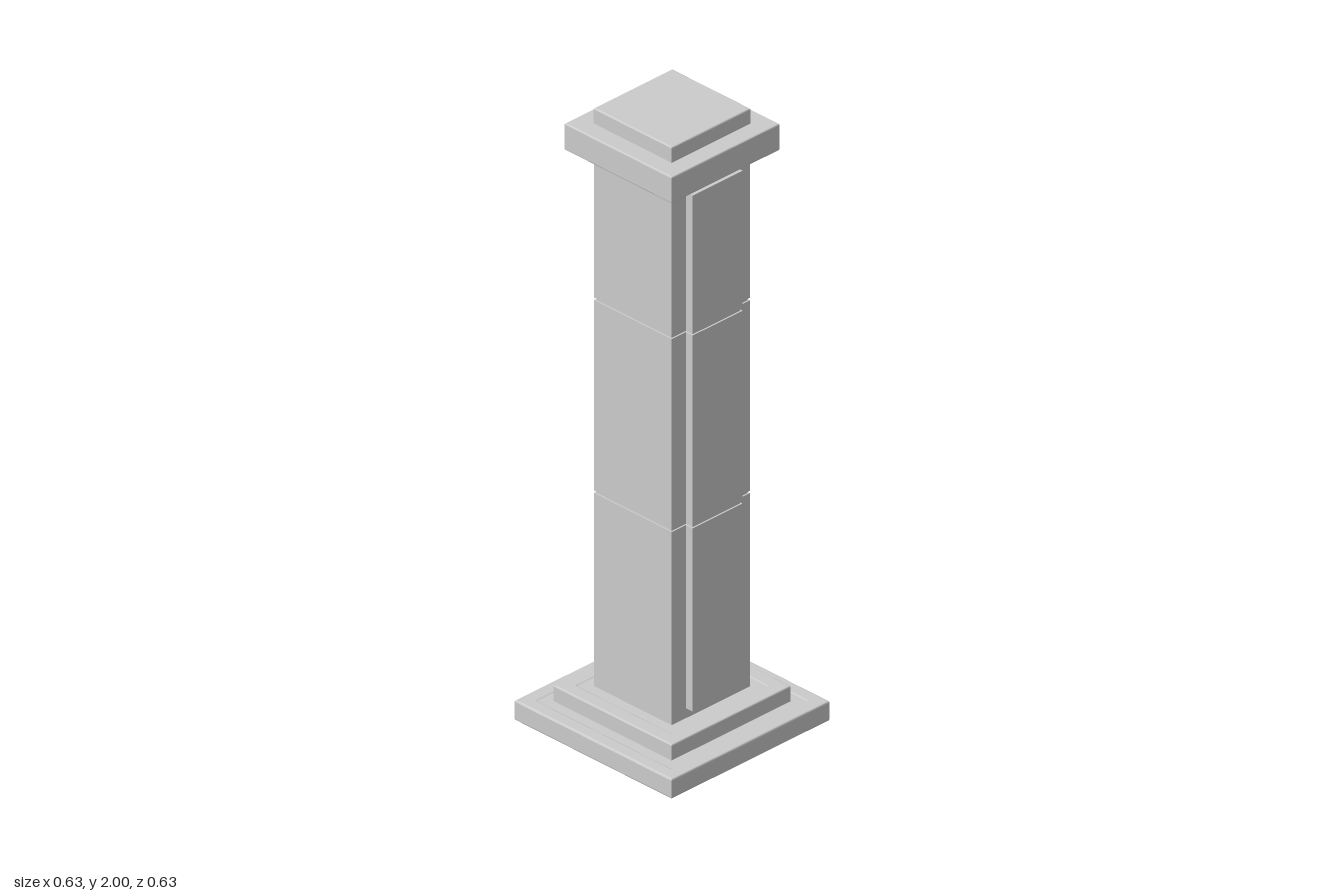
import * as THREE from 'three';

const HALF = 0.156;   // half width of the shaft
const PANEL = 0.1;    // half width of the panels
const RELIEF = 0.027; // how far the front panel stands out and the back one sinks in
const WALL = 0.015;
const SEAM = 0.004;

const material = new THREE.MeshStandardMaterial({ color: 0xcccccc });

const square = (h) => [[-h, -h], [h, -h], [h, h], [-h, h]];

// Shaft cross-section inset by t; shape y becomes -z, so the front lies at negative y
function panelled(t) {
  const h = HALF - t, f = PANEL - t, b = PANEL + t;
  return [
    [-h, -h], [-f, -h], [-f, -h - RELIEF], [f, -h - RELIEF], [f, -h], [h, -h],
    [h, h], [b, h], [b, h - RELIEF], [-b, h - RELIEF], [-b, h], [-h, h],
  ];
}

const toPoints = (list) => list.map(([x, y]) => new THREE.Vector2(x, y));

// Upright prism between two heights, with an optional hole and softened edges
function prism(name, outline, hole, y0, y1, bevel = 0) {
  const shape = new THREE.Shape(toPoints(outline));
  if (hole) shape.holes.push(new THREE.Path(toPoints(hole)));
  const geometry = new THREE.ExtrudeGeometry(shape, {
    depth: y1 - y0 - 2 * bevel,
    bevelEnabled: bevel > 0,
    bevelSize: bevel,
    bevelThickness: bevel,
    bevelOffset: -bevel,
    bevelSegments: 2,
  });
  geometry.rotateX(-Math.PI / 2);
  geometry.translate(0, y0 + bevel, 0);
  const mesh = new THREE.Mesh(geometry, material);
  mesh.name = name;
  return mesh;
}

export function createModel() {
  const model = new THREE.Group();
  model.name = 'pillar';

  // Stepped base, hollow underneath: a ring and a thin ceiling for each step
  const base = new THREE.Group();
  base.name = 'base';
  base.add(
    prism('lowerStep', square(0.315), square(0.27), 0, 0.065, 0.005),
    prism('lowerCeiling', square(0.275), square(0.19), 0.05, 0.063),
    prism('upperStep', square(0.237), square(0.19), 0.052, 0.114, 0.004),
    prism('upperCeiling', square(0.195), square(HALF - WALL), 0.1, 0.112),
  );
  model.add(base);

  // Hollow shaft: plain ends, three panelled blocks
  const shaft = new THREE.Group();
  shaft.name = 'shaft';
  const bottom = 0.145, top = 1.83, seams = [0.747, 1.377];
  const end = (name, y0, y1) =>
    shaft.add(prism(name, square(HALF), square(HALF - WALL), y0, y1));
  end('shaftFoot', 0.108, bottom);
  end('shaftNeck', top, 1.866);

  const edges = [bottom, ...seams, top];
  for (let i = 0; i < 3; i++) {
    const y0 = edges[i] + (i > 0 ? SEAM : 0);
    const y1 = edges[i + 1] - (i < 2 ? SEAM : 0);
    shaft.add(prism('shaftBlock', panelled(0), panelled(WALL), y0, y1));
  }
  // Narrow recessed joints between the blocks
  for (const y of seams) {
    shaft.add(prism('shaftJoint', panelled(0.005), panelled(WALL), y - SEAM, y + SEAM));
  }
  model.add(shaft);

  // Overhanging cap with a smaller block on top
  model.add(
    prism('cap', square(0.215), null, 1.863, 1.95, 0.004),
    prism('topBlock', square(0.157), null, 1.94, 2, 0.004),
  );
  return model;
}
